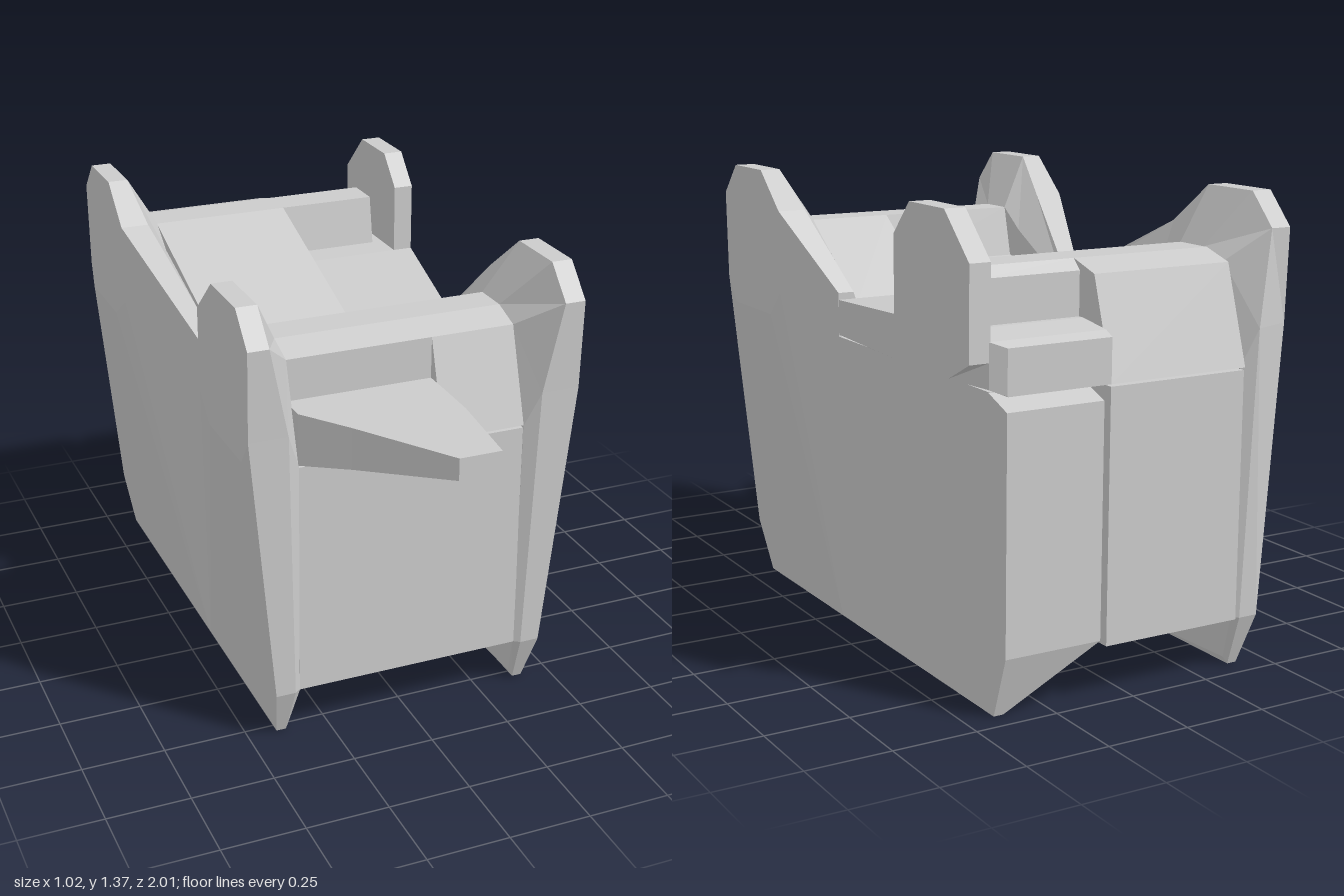
import * as THREE from 'three';

const grey = new THREE.MeshStandardMaterial({ color: 0xcccccc, flatShading: true });

// Joins rings of [x, y, z] points into a closed solid; the winding is set so faces point outward.
function loft(rings) {
  const tris = [];
  const n = rings[0].length;
  for (let r = 0; r < rings.length - 1; r++) {
    for (let i = 0; i < n; i++) {
      const j = (i + 1) % n;
      const a = rings[r][i], b = rings[r][j], c = rings[r + 1][j], d = rings[r + 1][i];
      tris.push([a, b, c], [a, c, d]);
    }
  }
  const first = rings[0], last = rings[rings.length - 1];
  for (let i = 1; i < n - 1; i++) {
    tris.push([first[0], first[i + 1], first[i]], [last[0], last[i], last[i + 1]]);
  }
  let volume = 0;
  const v = (p) => new THREE.Vector3(...p);
  for (const [a, b, c] of tris) volume += v(a).dot(v(b).cross(v(c)));
  if (volume < 0) tris.forEach((t) => t.reverse());
  const solid = tris.filter(([a, b, c]) => v(b).sub(v(a)).cross(v(c).sub(v(a))).length() > 1e-7);
  const geo = new THREE.BufferGeometry();
  geo.setAttribute('position', new THREE.Float32BufferAttribute(solid.flat(2), 3));
  geo.computeVertexNormals();
  return geo;
}

// Extrudes a [z, y] outline across x.
function across(outline, x0, x1) {
  const shape = new THREE.Shape(outline.map(([z, y]) => new THREE.Vector2(z, y)));
  const geo = new THREE.ExtrudeGeometry(shape, { depth: x1 - x0, bevelEnabled: false });
  return geo.rotateY(-Math.PI / 2).translate(x1, 0, 0);
}

function box(x0, x1, y0, y1, z0, z1) {
  return new THREE.BoxGeometry(x1 - x0, y1 - y0, z1 - z0)
    .translate((x0 + x1) / 2, (y0 + y1) / 2, (z0 + z1) / 2);
}

// Half of a flared side panel: flare core, outer rim, inner rim and inner base, as [x, y, z].
const A = [0.508, 0.92, 0.28], C = [0.508, 0.92, 0.55], K = [0.508, 1.0, 0.2];
const core = [A, C, C, C, C, C, K, K, K];
const outer = [
  [0.41, 0, 0], [0.41, 0, 0.53], [0.43, 0.16, 0.59], [0.508, 1.0, 0.61], [0.508, 1.27, 0.62],
  [0.508, 1.365, 0.53], [0.508, 1.365, 0.33], [0.508, 1.25, 0.2], [0.41, 1.02, 0],
];
const innerX = [0.38, 0.38, 0.37, 0.39, 0.445, 0.445, 0.445, 0.42, 0.36];
const inner = outer.map(([, y, z], i) => [innerX[i], y, z]);
const base = [
  [0.36, 0, 0], [0.37, 0.02, 0.52], [0.35, 0.16, 0.575], [0.35, 0.89, 0.58], [0.35, 1.175, 0.49],
  [0.35, 1.205, 0.4], [0.35, 1.205, 0.29], [0.35, 1.14, 0.2], [0.35, 0.99, 0],
];

function sidePanel(side, end, waist) {
  const rings = [core, outer, inner, base].map((ring) => ring.map(([x, y, z]) => {
    let w = z;
    if (z === 0) w = waist;
    else if (end < 0) w = -z - (y > 0.95 && x > 0.4 ? 0.36 : 0.4);
    return [side * x, y, w];
  }));
  return loft(rings);
}

export function createModel() {
  const model = new THREE.Group();
  const add = (name, geo) => {
    const mesh = new THREE.Mesh(geo, grey);
    mesh.name = name;
    model.add(mesh);
  };

  // Side panels
  add('leftFrontPanel', sidePanel(1, 1, -0.01));
  add('rightFrontPanel', sidePanel(-1, 1, -0.08));
  add('rightBackPanel', sidePanel(-1, -1, -0.08));
  add('leftBackWall', box(0.36, 0.41, 0, 0.887, -0.9, -0.01));

  // End walls, with the underside left open
  add('frontWall', box(-0.352, 0.352, 0.16, 0.885, 0.53, 0.578));
  add('rightBackWall', box(-0.352, 0.09, 0.16, 0.885, -0.995, -0.94));
  const block = (x, drop) => [
    [x, drop, -0.9], [x, 0.885, -0.9], [x, 0.85, -0.995], [x, 0.18, -0.995], [x, drop, -0.935],
  ];
  add('leftBackWallBlock', loft([block(0.11, 0.15), block(0.38, 0), block(0.41, 0)]));

  // Full sloping tops
  add('leftFrontTop', across([
    [-0.02, 0.893], [0.58, 0.893], [0.49, 1.175], [0.4, 1.205], [0.29, 1.205], [-0.02, 0.99],
  ], 0.092, 0.352));
  add('rightBackTop', across([
    [-0.08, 0.893], [-0.08, 1.0], [-0.69, 1.205], [-0.81, 1.205], [-0.91, 1.175], [-1, 0.893],
  ], -0.352, 0.092));

  // Beams over the recessed tops
  add('frontBeam', across([
    [0.25, 1.03], [0.49, 1.03], [0.49, 1.175], [0.4, 1.205], [0.29, 1.205],
  ], -0.352, 0.092));
  add('backBeam', across([
    [-0.66, 1.03], [-0.69, 1.205], [-0.81, 1.205], [-0.84, 1.175], [-0.84, 1.03],
  ], 0.092, 0.41));

  // Recessed front slab that narrows into a projecting nose
  const nose = (z, x0, x1, y0, y1) => [[x0, y0, z], [x1, y0, z], [x1, y1, z], [x0, y1, z]];
  add('frontSlab', loft([
    nose(-0.08, -0.352, 0.092, 0.893, 1.0),
    nose(0.25, -0.352, 0.092, 0.893, 1.05),
    nose(0.58, -0.352, 0.092, 0.893, 1.05),
    nose(0.72, -0.25, 0.09, 0.925, 1.05),
    nose(1.0, -0.065, 0.06, 0.985, 1.05),
  ]));

  // Recessed back slab flaring out past the side wall
  const shelf = (z, x, low, top) => [
    [0.092, 0.893, z], [Math.min(x, 0.41), 0.893, z], [x, low, z], [x, top, z], [0.092, top, z],
  ];
  add('backSlab', loft([
    shelf(-0.015, 0.412, 0.895, 1.0),
    shelf(-0.56, 0.508, 0.925, 1.05),
    shelf(-0.86, 0.508, 0.925, 1.05),
    shelf(-0.97, 0.45, 0.91, 1.035),
    shelf(-1.0, 0.412, 0.895, 1.02),
  ]));

  // Upright ear standing on the back slab
  add('backEar', across([
    [-0.56, 0.925], [-0.56, 1.27], [-0.65, 1.365], [-0.84, 1.365], [-0.97, 1.24], [-0.97, 0.98], [-0.86, 0.925],
  ], 0.445, 0.508));

  return model;
}
